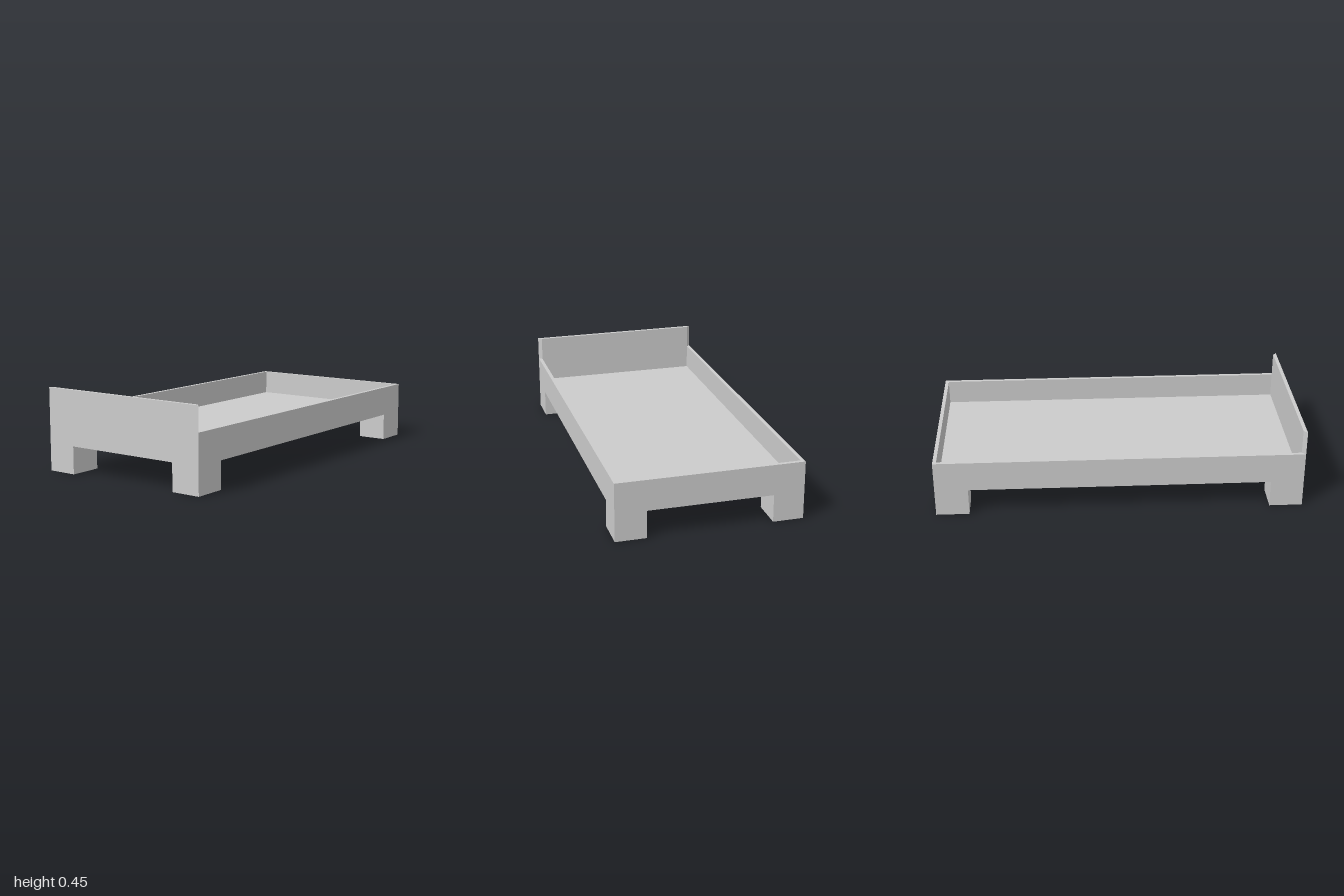
import * as THREE from 'three';

const LENGTH = 2, WIDTH = 1, WALL = 0.02;
const LEG_H = 0.15, FLOOR_Y = 0.18, RIM_Y = 0.317, HEAD_Y = 0.45;
const LEG_X = 0.18, LEG_Z = 0.165;

const material = new THREE.MeshStandardMaterial({ color: 0xcccccc, flatShading: true });

function addMesh(group, name, geometry, x = 0, y = 0, z = 0) {
  const mesh = new THREE.Mesh(geometry, material);
  mesh.name = name;
  mesh.position.set(x, y, z);
  group.add(mesh);
  return mesh;
}

// Extrudes a plan outline (x, z) upwards from y = 0
function extrudeUp(shape, height) {
  const geometry = new THREE.ExtrudeGeometry(shape, { depth: height, bevelEnabled: false });
  return geometry.rotateX(-Math.PI / 2);
}

function rectangle(PathType, halfX, halfZ) {
  return new PathType([
    new THREE.Vector2(-halfX, -halfZ), new THREE.Vector2(halfX, -halfZ),
    new THREE.Vector2(halfX, halfZ), new THREE.Vector2(-halfX, halfZ),
  ]);
}

export function createModel() {
  const bed = new THREE.Group();
  bed.name = 'bedFrame';
  const hx = LENGTH / 2, hz = WIDTH / 2;

  // Thin side rails all round
  const rails = rectangle(THREE.Shape, hx, hz);
  rails.holes.push(rectangle(THREE.Path, hx - WALL, hz - WALL));
  addMesh(bed, 'sideRails', extrudeUp(rails, RIM_Y - LEG_H), 0, LEG_H, 0);

  // Sunken mattress base
  const baseH = FLOOR_Y - LEG_H;
  addMesh(bed, 'mattressBase',
    new THREE.BoxGeometry(LENGTH - 2 * WALL, baseH, WIDTH - 2 * WALL), 0, LEG_H + baseH / 2, 0);

  // Headboard with mitred ends
  const head = new THREE.Shape([
    new THREE.Vector2(-hx, -hz), new THREE.Vector2(-hx + WALL, -hz + WALL),
    new THREE.Vector2(-hx + WALL, hz - WALL), new THREE.Vector2(-hx, hz),
  ]);
  addMesh(bed, 'headboard', extrudeUp(head, HEAD_Y - RIM_Y), 0, RIM_Y, 0);

  // Corner legs
  const legGeometry = new THREE.BoxGeometry(LEG_X, LEG_H, LEG_Z);
  for (const sx of [-1, 1]) {
    for (const sz of [-1, 1]) {
      addMesh(bed, `${sz > 0 ? 'front' : 'back'}${sx > 0 ? 'Left' : 'Right'}Leg`, legGeometry,
        sx * (hx - LEG_X / 2), LEG_H / 2, sz * (hz - LEG_Z / 2));
    }
  }
  return bed;
}
